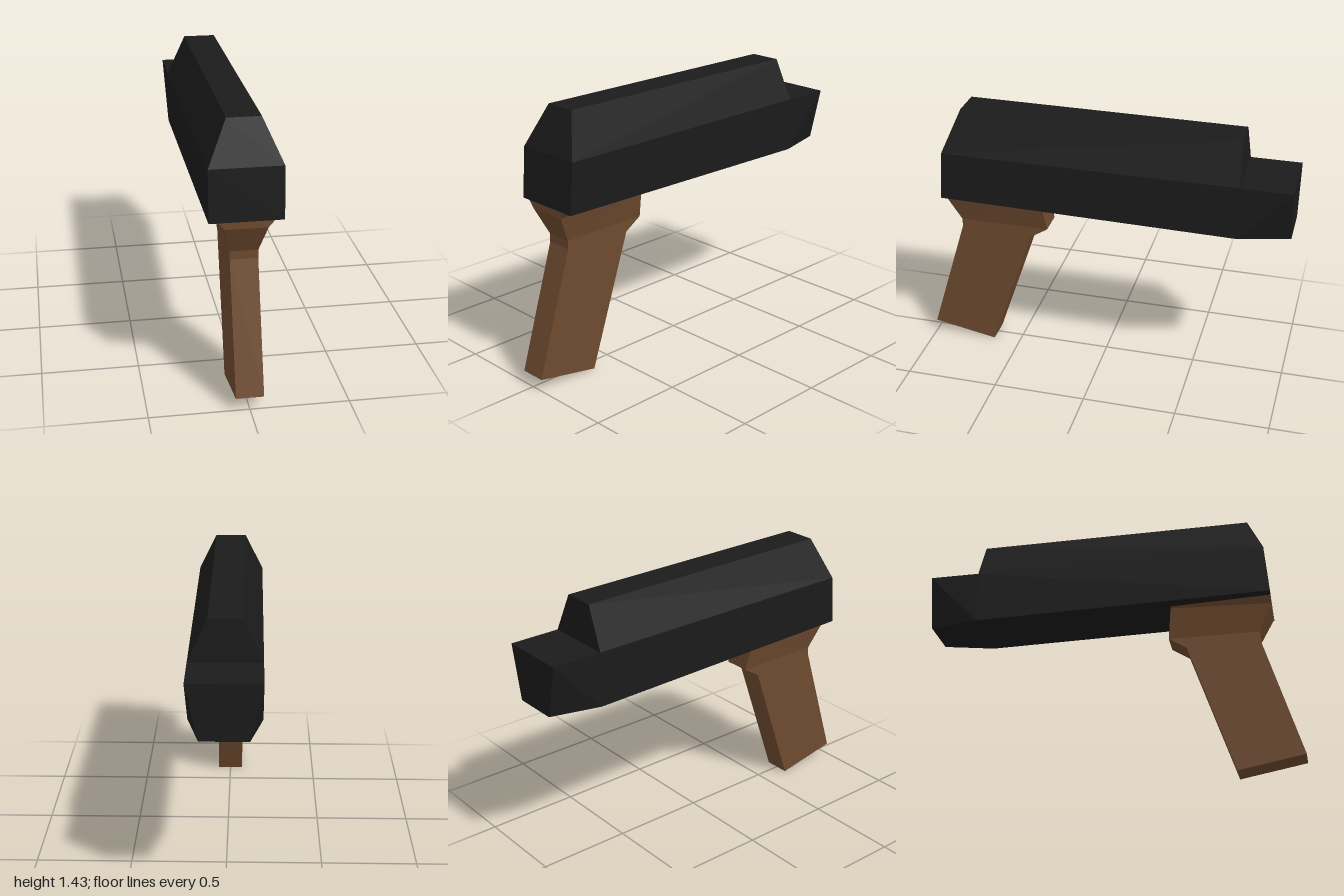
import * as THREE from 'three';

// Lofts levels stacked from bottom to top. Each level lists [z, y, halfWidth]
// from front to back and is mirrored across x = 0.
function loft(levels) {
  const n = levels[0].length;
  const rings = levels.map((half) => [
    ...half.map(([z, y, w]) => [w, y, z]),
    ...half.map(([z, y, w]) => [-w, y, z]).reverse(),
  ]);
  const positions = [];
  const tri = (a, b, c) => positions.push(...a, ...b, ...c);

  // Walls, with mirrored diagonals on the two sides
  for (let r = 0; r < rings.length - 1; r++) {
    for (let i = 0; i < 2 * n; i++) {
      const j = (i + 1) % (2 * n);
      const a = rings[r][i], b = rings[r][j];
      const c = rings[r + 1][j], d = rings[r + 1][i];
      if (i < n) { tri(a, b, c); tri(a, c, d); }
      else { tri(a, b, d); tri(b, c, d); }
    }
  }

  // Caps
  const low = rings[0], high = rings[rings.length - 1];
  for (let i = 0; i < n - 1; i++) {
    const k = 2 * n - 1 - i;
    tri(high[i], high[i + 1], high[k - 1]);
    tri(high[i], high[k - 1], high[k]);
    tri(low[i], low[k - 1], low[i + 1]);
    tri(low[i], low[k], low[k - 1]);
  }

  const geometry = new THREE.BufferGeometry();
  geometry.setAttribute('position', new THREE.Float32BufferAttribute(positions, 3));
  geometry.computeVertexNormals();
  return geometry;
}

export function createModel() {
  const model = new THREE.Group();
  const add = (name, color, levels) => {
    const material = new THREE.MeshStandardMaterial({ color, flatShading: true });
    const mesh = new THREE.Mesh(loft(levels), material);
    mesh.name = name;
    model.add(mesh);
  };
  const black = 0x1b1b1b, brown = 0x6e4a2f;

  // Lower body, with the rear bottom corners pinched in
  add('lowerBody', black, [
    [[0.87, 0.945, 0.183], [-0.73, 0.92, 0.183], [-1, 0.925, 0.12]],
    [[0.85, 1.21, 0.183], [-0.73, 1.21, 0.183], [-1, 1.21, 0.183]],
  ]);

  // Sloped upper body, stopping short of the rear end
  add('upperBody', black, [
    [[0.85, 1.21, 0.183], [-0.73, 1.21, 0.183]],
    [[0.765, 1.43, 0.085], [-0.72, 1.425, 0.085]],
  ]);

  // Slanted grip flaring into a collar under the body
  add('grip', brown, [
    [[1, 0.065, 0.07], [0.65, 0, 0.07]],
    [[0.8, 0.72, 0.07], [0.41, 0.705, 0.07]],
    [[0.8, 0.765, 0.07], [0.315, 0.765, 0.07]],
    [[0.87, 0.91, 0.105], [0.333, 0.93, 0.105]],
    [[0.87, 0.945, 0.135], [0.335, 0.938, 0.115]],
  ]);

  return model;
}
